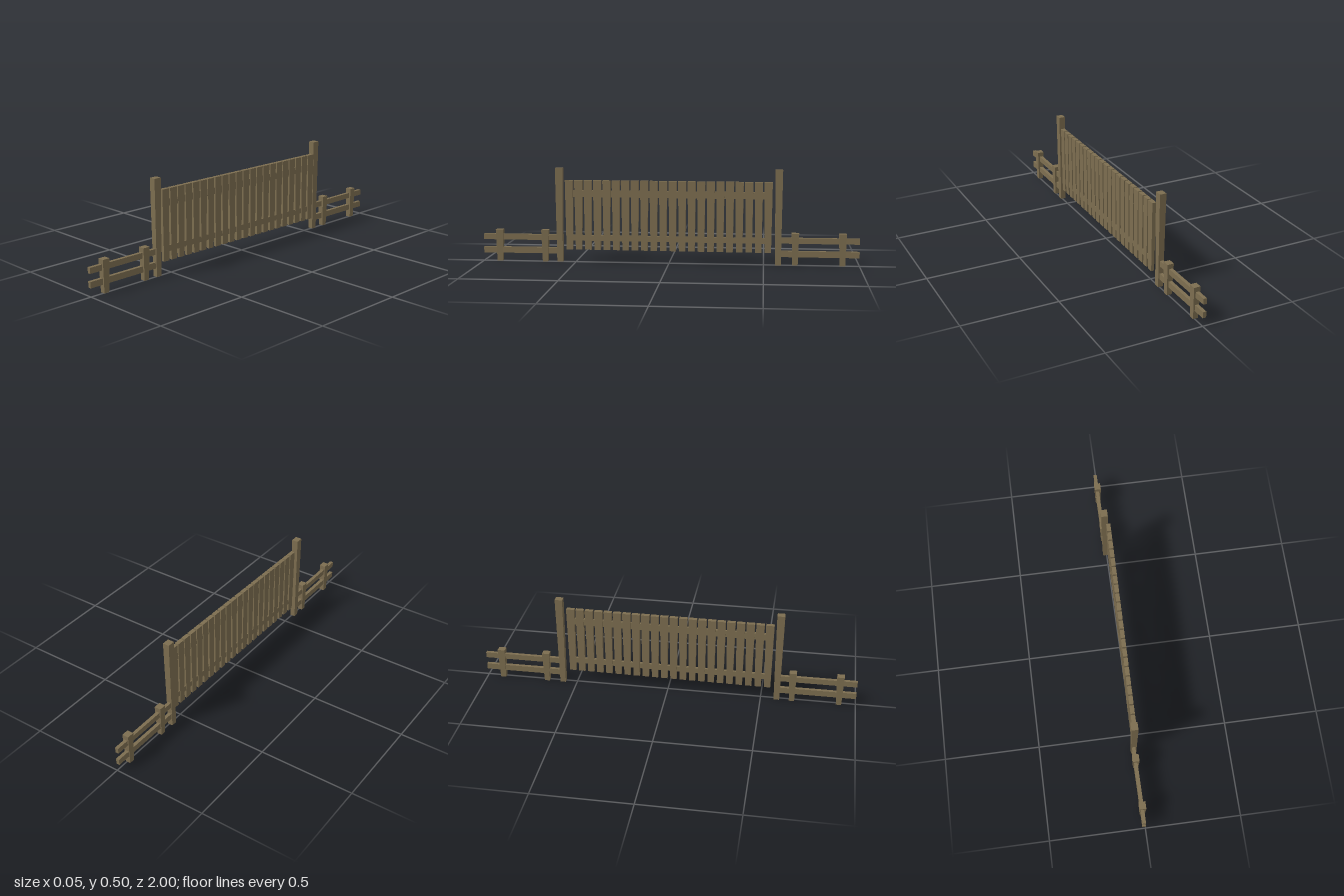
import * as THREE from 'three';

const wood = new THREE.MeshStandardMaterial({ color: 0x7d6e50, flatShading: true });

// Box standing on y0 that narrows towards its foot
function taperedBox(name, [w, h, d], [footW, footD], x, y0, z) {
  const geo = new THREE.BoxGeometry(w, h, d);
  const p = geo.attributes.position;
  for (let i = 0; i < p.count; i++) {
    if (p.getY(i) < 0) {
      p.setX(i, Math.sign(p.getX(i)) * footW / 2);
      p.setZ(i, Math.sign(p.getZ(i)) * footD / 2);
    }
  }
  geo.computeVertexNormals();
  const mesh = new THREE.Mesh(geo, wood);
  mesh.name = name;
  mesh.position.set(x, y0 + h / 2, z);
  return mesh;
}

// Horizontal rail running from z0 to z1
function rail(name, thick, y0, y1, z0, z1, x) {
  const mesh = new THREE.Mesh(new THREE.BoxGeometry(thick, y1 - y0, Math.abs(z1 - z0)), wood);
  mesh.name = name;
  mesh.position.set(x, (y0 + y1) / 2, (z0 + z1) / 2);
  return mesh;
}

export function createModel() {
  const model = new THREE.Group();
  model.name = 'gateAndFence';
  const postX = -0.006;

  // Fence on each side: tall gate post, two short posts, two rails
  for (const side of [1, -1]) {
    const fence = new THREE.Group();
    fence.name = side > 0 ? 'frontFence' : 'backFence';
    const gatePostZ = side > 0 ? 0.585 : -0.576;
    fence.add(taperedBox('gatePost', [0.035, 0.503, 0.04], [0.027, 0.03], postX, 0, gatePostZ));
    for (const z of [0.665, 0.912]) {
      fence.add(taperedBox('shortPost', [0.035, 0.17, 0.039], [0.027, 0.028], postX, 0, side * z));
    }
    for (const [y0, y1] of [[0.043, 0.075], [0.115, 0.145]]) {
      fence.add(rail('fenceRail', 0.018, y0, y1, gatePostZ, side, -0.008));
    }
    model.add(fence);
  }

  // Gate, swung very slightly open
  const gate = new THREE.Group();
  gate.name = 'gate';
  gate.position.set(0.004, 0, 0.005);
  gate.rotation.y = -0.0132;
  const count = 22, pitch = 0.0502;
  for (let i = 0; i < count; i++) {
    const z = (i - (count - 1) / 2) * pitch;
    gate.add(taperedBox('plank', [0.022, 0.372, 0.043], [0.016, 0.034], 0, 0.067, z));
  }
  for (const [y0, y1] of [[0.115, 0.145], [0.35, 0.386]]) {
    gate.add(rail('gateRail', 0.014, y0, y1, -0.545, 0.545, 0));
  }
  model.add(gate);

  return model;
}
